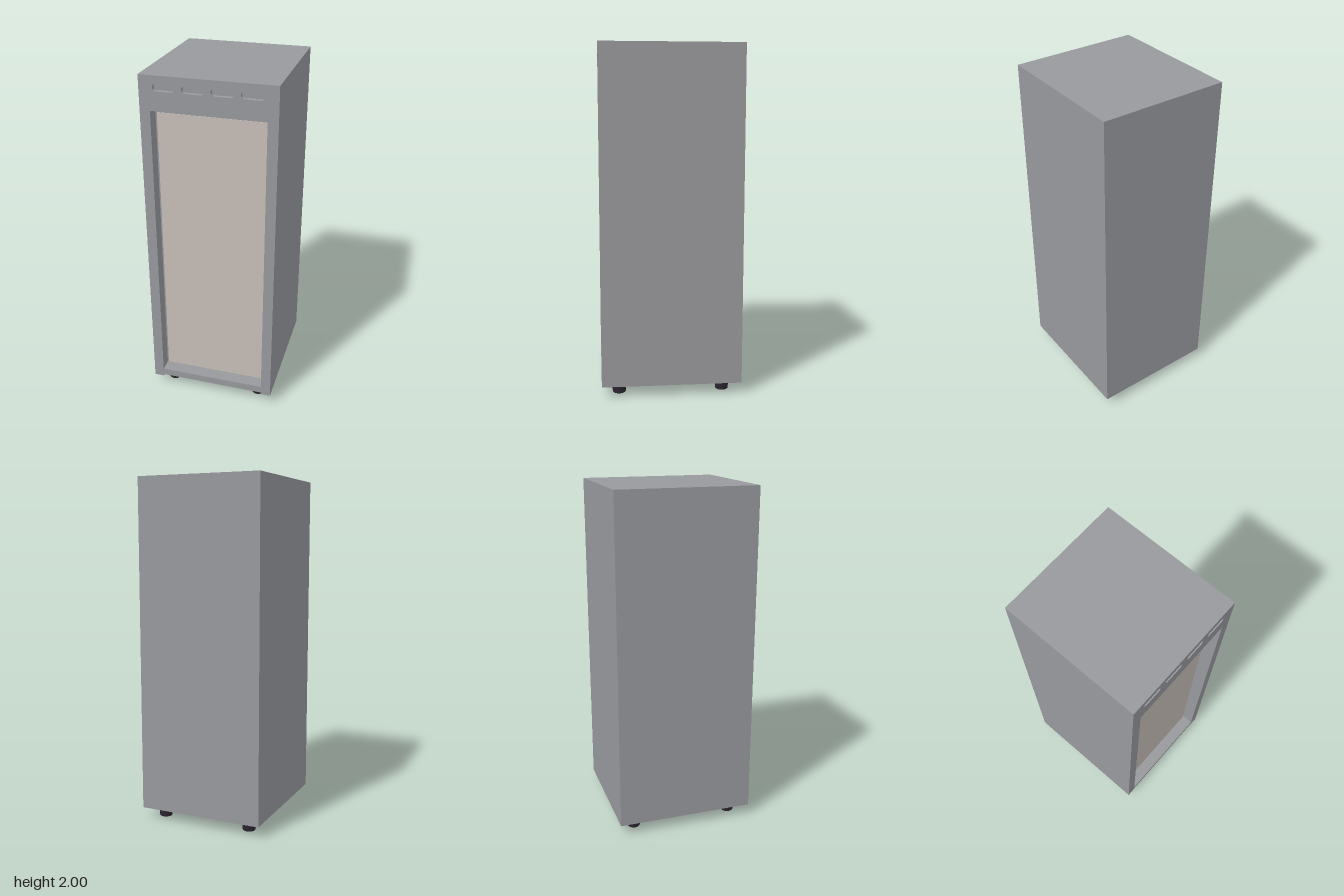
import * as THREE from 'three';

const W = 0.372, D = 0.405, TOP = 2, BASE = 0.065, PLATE = 0.077; // half sizes and levels
const RECESS = 0.075; // depth of the front frame

export function createModel() {
  const model = new THREE.Group();
  const grey = new THREE.MeshStandardMaterial({ color: 0x98999d });
  grey.name = 'cabinetGrey';
  const beige = new THREE.MeshStandardMaterial({ color: 0xc6beb8 });
  beige.name = 'panelBeige';
  const dark = new THREE.MeshStandardMaterial({ color: 0x2e2833 });
  dark.name = 'footDark';

  const add = (name, geometry, material, x = 0, y = 0, z = 0) => {
    const mesh = new THREE.Mesh(geometry, material);
    mesh.name = name;
    mesh.position.set(x, y, z);
    model.add(mesh);
    return mesh;
  };
  // box given by its minimum and maximum corners
  const box = (name, material, [x0, y0, z0], [x1, y1, z1]) =>
    add(name, new THREE.BoxGeometry(x1 - x0, y1 - y0, z1 - z0), material,
      (x0 + x1) / 2, (y0 + y1) / 2, (z0 + z1) / 2);

  const back = D - RECESS;
  const rim = 0.315;

  // cabinet behind the front frame, with a shallow rim around its underside
  box('cabinetBody', grey, [-W, PLATE, -D], [W, TOP, back]);
  for (const s of [-1, 1]) {
    box('bottomSideRim', grey, [Math.min(s * W, s * rim), BASE, -D], [Math.max(s * W, s * rim), PLATE, back]);
  }
  box('bottomBackRim', grey, [-rim, BASE, -D], [rim, PLATE, -D + 0.055]);

  // front frame: notched lower edge, door opening and four vent slots
  const frame = new THREE.Shape([
    [-W, BASE], [-rim, BASE], [-rim, PLATE], [rim, PLATE],
    [rim, BASE], [W, BASE], [W, TOP], [-W, TOP],
  ].map(([x, y]) => new THREE.Vector2(x, y)));

  frame.holes.push(new THREE.Path([
    [-0.314, 0.12], [-0.314, 1.81], [0.314, 1.81], [0.314, 0.12],
  ].map(([x, y]) => new THREE.Vector2(x, y))));

  const slotY = 1.936, slotR = 0.019, slotHalf = 0.042;
  for (const x of [-0.236, -0.079, 0.079, 0.236]) {
    const slot = new THREE.Path();
    slot.absarc(x + slotHalf, slotY, slotR, -Math.PI / 2, Math.PI / 2, false);
    slot.absarc(x - slotHalf, slotY, slotR, Math.PI / 2, Math.PI * 1.5, false);
    slot.closePath();
    frame.holes.push(slot);
  }
  add('frontFrame', new THREE.ExtrudeGeometry(frame, {
    depth: RECESS, bevelEnabled: false, curveSegments: 10,
  }), grey, 0, 0, back);

  // closes the vent slots a little way behind the face
  box('ventBacking', grey, [-0.33, 1.905, back], [0.33, 1.967, D - 0.025]);

  // inset panel on the back of the recess
  box('frontPanel', beige, [-0.305, 0.125, back], [0.305, 1.78, back + 0.004]);

  // four tapered feet
  const profile = [
    [0, 0], [0.034, 0], [0.038, 0.004], [0.039, 0.03],
    [0.043, 0.034], [0.043, 0.058], [0.04, 0.062], [0.04, PLATE],
  ].map(([r, y]) => new THREE.Vector2(r, y));
  const footGeometry = new THREE.LatheGeometry(profile, 24);
  for (const x of [-0.273, 0.273]) {
    for (const z of [-0.303, 0.303]) add('foot', footGeometry, dark, x, 0, z);
  }

  return model;
}
